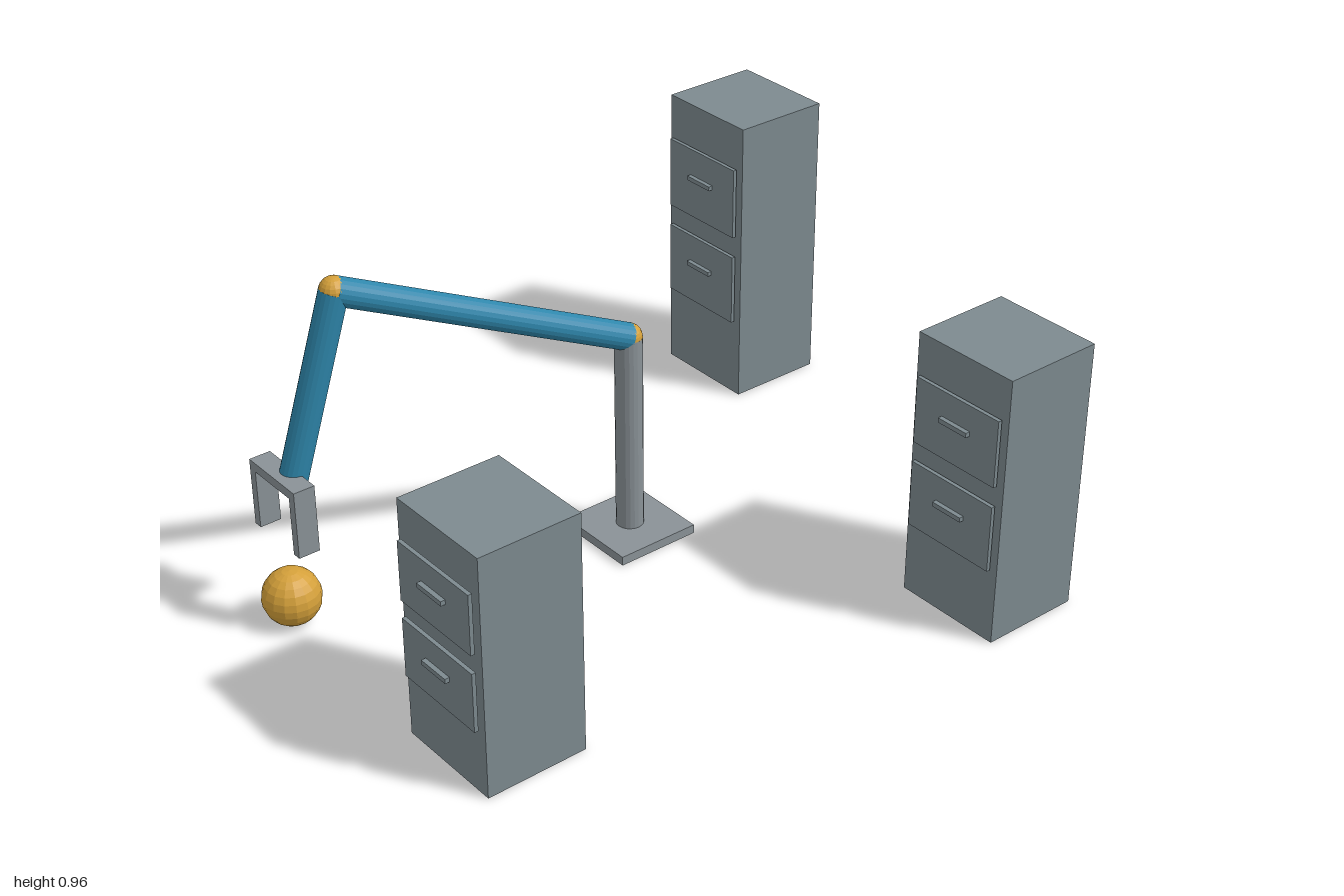
import * as THREE from 'three';

const material = (name, color, flatShading = true) => {
  const m = new THREE.MeshStandardMaterial({ color, flatShading });
  m.name = name;
  return m;
};

export function createModel() {
  const cabinetGrey = material('cabinet grey', 0x7d8a8f);
  const metal = material('arm metal', 0x8a9297);
  const blue = material('arm blue', 0x2e86ab);
  const gold = material('gold', 0xd4a03a);

  const add = (parent, name, geometry, mat, x, y, z) => {
    const mesh = new THREE.Mesh(geometry, mat);
    mesh.name = name;
    mesh.position.set(x, y, z);
    parent.add(mesh);
    return mesh;
  };
  const box = (parent, name, mat, w, h, d, x, y, z) =>
    add(parent, name, new THREE.BoxGeometry(w, h, d), mat, x, y, z);

  const model = new THREE.Group();
  model.name = 'robotArmWithCabinets';

  // Two-drawer cabinets: centre x, height, centre z
  const W = 0.316, D = 0.288;
  for (const [name, x, h, z] of [
    ['tallCabinet', -0.672, 0.86, -0.856],
    ['middleCabinet', 0.671, 0.771, -0.545],
    ['shortCabinet', 0.356, 0.678, 0.801],
  ]) {
    const cabinet = new THREE.Group();
    cabinet.name = name;
    cabinet.position.set(x, 0, z);
    model.add(cabinet);
    box(cabinet, 'body', cabinetGrey, W, h, D, 0, h / 2, 0);
    for (const f of [0.406, 0.728]) {
      box(cabinet, 'drawerFront', cabinetGrey, 0.28, 0.247 * h, 0.011, 0, f * h, D / 2 + 0.012);
      box(cabinet, 'handle', cabinetGrey, 0.096, 0.013, 0.014, 0, (f + 0.022) * h, D / 2 + 0.0235);
    }
  }

  // Robot arm
  const arm = new THREE.Group();
  arm.name = 'robotArm';
  model.add(arm);
  const R = 0.038;
  const shoulder = new THREE.Vector3(-0.157, 0.602, -0.014);
  const elbow = new THREE.Vector3(-0.333, 0.926, 0.752);
  const wrist = new THREE.Vector3(-0.364, 0.423, 0.893);
  const foot = new THREE.Vector3(shoulder.x, 0.02, shoulder.z);

  const rod = (name, a, b, mat) => {
    const dir = b.clone().sub(a);
    const mid = a.clone().lerp(b, 0.5);
    const mesh = add(arm, name, new THREE.CylinderGeometry(R, R, dir.length(), 20), mat, mid.x, mid.y, mid.z);
    mesh.quaternion.setFromUnitVectors(new THREE.Vector3(0, 1, 0), dir.normalize());
  };

  box(arm, 'basePlate', metal, 0.247, 0.026, 0.247, shoulder.x, 0.013, shoulder.z);
  rod('post', foot, shoulder, metal);
  rod('upperArm', shoulder, elbow, blue);
  rod('forearm', elbow, wrist, blue);
  for (const [name, p] of [['shoulderJoint', shoulder], ['elbowJoint', elbow]])
    add(arm, name, new THREE.SphereGeometry(R, 16, 12), gold, p.x, p.y, p.z);

  // Gripper with two fingers pointing down
  const gripper = new THREE.Group();
  gripper.name = 'gripper';
  gripper.position.set(-0.372, 0, 0.918);
  arm.add(gripper);
  box(gripper, 'palm', metal, 0.208, 0.026, 0.06, 0, 0.441, 0);
  for (const side of [-1, 1])
    box(gripper, 'finger', metal, 0.025, 0.172, 0.06, side * 0.0915, 0.348, 0);

  // Ball under the gripper
  add(model, 'ball', new THREE.SphereGeometry(0.079, 16, 12), gold, -0.373, 0.08, 0.921);

  return model;
}
